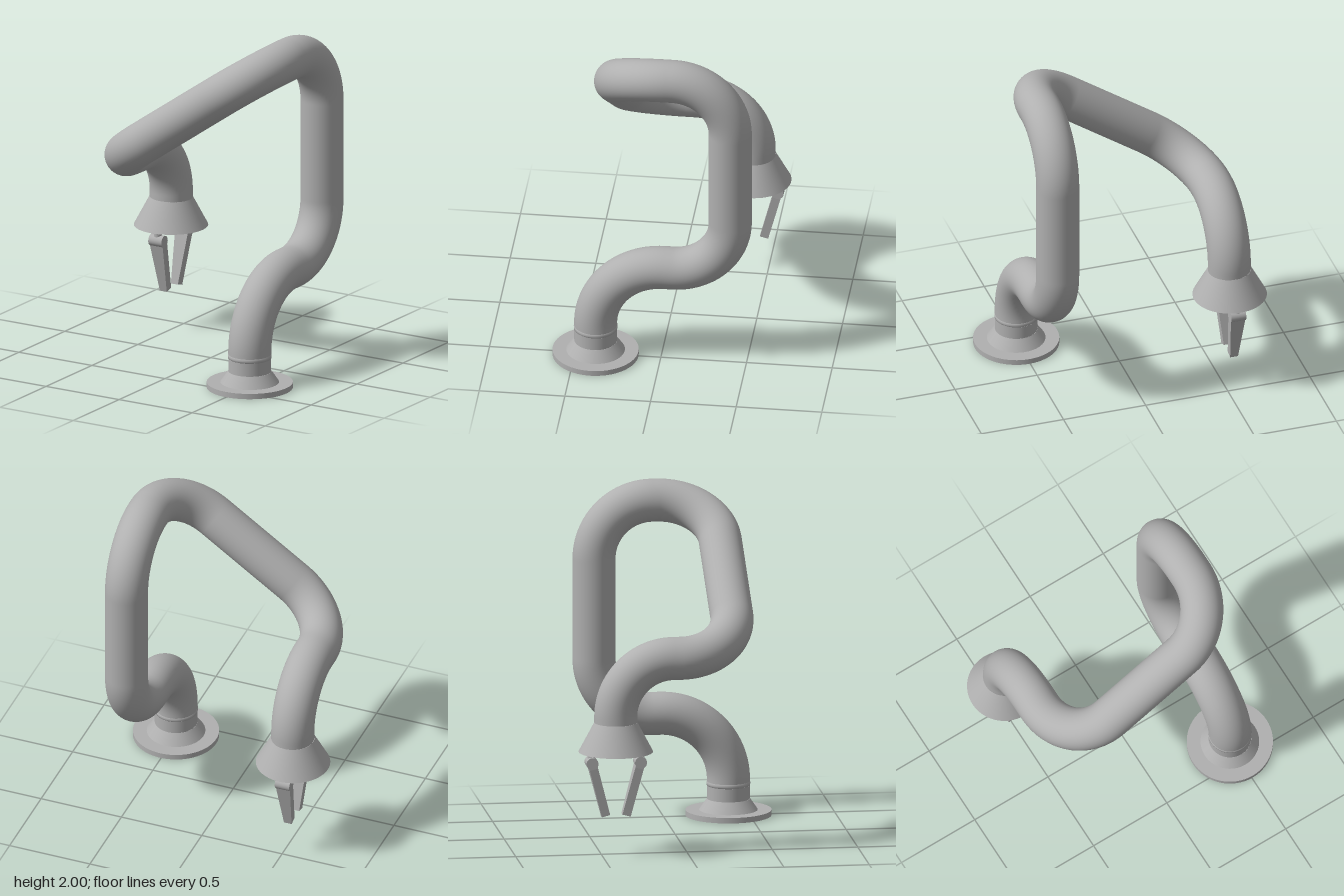
import * as THREE from 'three';

const V = (x, y, z) => new THREE.Vector3(x, y, z);
const grey = new THREE.MeshStandardMaterial({ color: 0xb0b0b0 });
grey.name = 'grey';

// Quarter circle rounding a right-angled corner
class CornerArc extends THREE.Curve {
  constructor(corner, dirIn, dirOut, r) {
    super();
    Object.assign(this, { dirIn, dirOut, r });
    this.center = corner.clone().addScaledVector(dirIn, -r).addScaledVector(dirOut, r);
  }
  getPoint(t, target = new THREE.Vector3()) {
    const a = t * Math.PI / 2;
    return target.copy(this.center)
      .addScaledVector(this.dirOut, -this.r * Math.cos(a))
      .addScaledVector(this.dirIn, this.r * Math.sin(a));
  }
}

// Straight runs joined by rounded corners
function roundedPath(points, radii) {
  const path = new THREE.CurvePath();
  let from = points[0];
  for (let i = 1; i < points.length - 1; i++) {
    const dirIn = points[i].clone().sub(points[i - 1]).normalize();
    const dirOut = points[i + 1].clone().sub(points[i]).normalize();
    const r = radii[i - 1];
    path.add(new THREE.LineCurve3(from, points[i].clone().addScaledVector(dirIn, -r)));
    path.add(new CornerArc(points[i], dirIn, dirOut, r));
    from = points[i].clone().addScaledVector(dirOut, r);
  }
  path.add(new THREE.LineCurve3(from, points[points.length - 1]));
  return path;
}

function add(parent, name, geometry, x = 0, y = 0, z = 0) {
  const mesh = new THREE.Mesh(geometry, grey);
  mesh.name = name;
  mesh.position.set(x, y, z);
  parent.add(mesh);
  return mesh;
}

// Round section between two heights
function ring(parent, name, rBottom, rTop, y0, y1) {
  return add(parent, name, new THREE.CylinderGeometry(rTop, rBottom, y1 - y0, 64), 0, (y0 + y1) / 2, 0);
}

export function createModel() {
  const model = new THREE.Group();
  model.name = 'robotArm';

  // Base
  const base = new THREE.Group();
  base.name = 'base';
  base.position.set(0.505, 0, 0.38);
  model.add(base);
  ring(base, 'basePlate', 0.25, 0.25, 0, 0.032);
  ring(base, 'baseCone', 0.17, 0.125, 0.032, 0.098);
  ring(base, 'baseNeck', 0.124, 0.124, 0.098, 0.176);
  const collar = [[0, 0.172], [0.118, 0.172], [0.126, 0.178], [0.127, 0.188], [0.126, 0.2], [0.118, 0.206], [0, 0.206]];
  add(base, 'baseCollar', new THREE.LatheGeometry(collar.map(p => new THREE.Vector2(...p)), 64));

  // Arm
  const armPath = roundedPath([
    V(0.505, 0.19, 0.38), V(0.505, 0.612, 0.38), V(0.505, 0.612, -0.406),
    V(0.505, 1.875, -0.406), V(0.505, 1.875, 0.295), V(-0.535, 1.155, 0.295),
    V(-0.535, 1.155, -0.42), V(-0.535, 0.77, -0.42),
  ], [0.4, 0.335, 0.335, 0.335, 0.335, 0.335]);
  add(model, 'arm', new THREE.TubeGeometry(armPath, 320, 0.125, 48));

  // Gripper
  const gripper = new THREE.Group();
  gripper.name = 'gripper';
  gripper.position.set(-0.537, 0, -0.42);
  model.add(gripper);
  ring(gripper, 'wristCone', 0.216, 0.125, 0.615, 0.787);

  // Tapered finger outline, hanging from its pivot
  const outline = new THREE.Shape([
    [-0.043, 0], [-0.043, -0.035], [-0.026, -0.29], [-0.024, -0.325],
    [0.024, -0.325], [0.026, -0.29], [0.043, -0.035], [0.043, 0],
  ].map(p => new THREE.Vector2(...p)));
  const fingerGeometry = new THREE.ExtrudeGeometry(outline, { depth: 0.05, bevelEnabled: false });
  fingerGeometry.translate(0, 0, -0.025);

  for (const side of [-1, 1]) {
    const finger = new THREE.Group();
    finger.name = side > 0 ? 'frontFinger' : 'backFinger';
    finger.position.set(0, 0.552, side * 0.142);
    gripper.add(finger);
    add(finger, 'fingerPost', new THREE.CylinderGeometry(0.024, 0.024, 0.07, 24), 0, 0.035, 0);
    const pivot = add(finger, 'fingerPivot', new THREE.CylinderGeometry(0.035, 0.035, 0.09, 32));
    pivot.rotation.z = Math.PI / 2;
    const blade = add(finger, 'fingerBlade', fingerGeometry);
    blade.rotation.x = side * 0.255;
  }
  return model;
}
